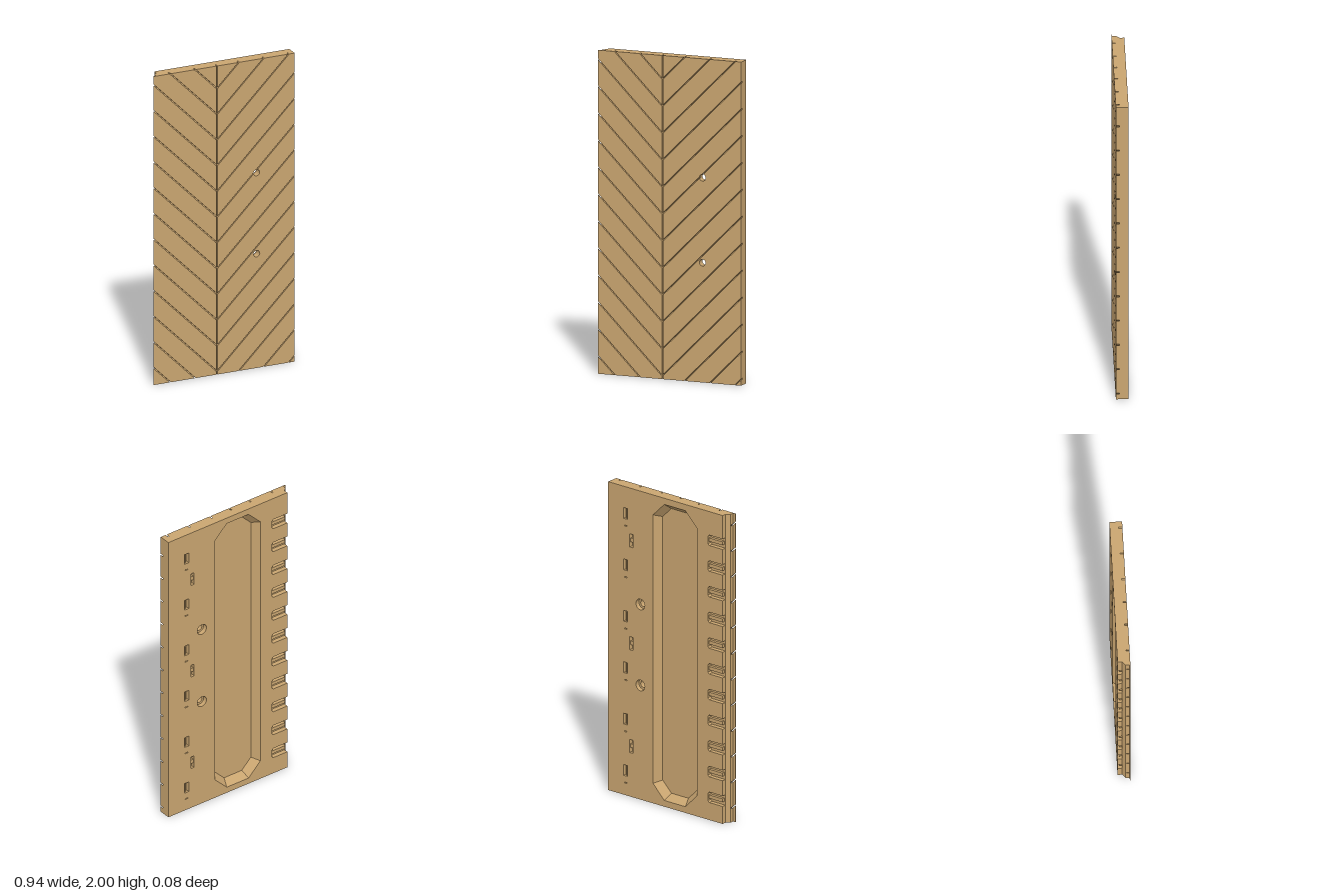
import * as THREE from 'three';
import { mergeGeometries } from 'three/addons/utils/BufferGeometryUtils.js';

const W = 0.47, EDGE = -0.434, STEP = -0.457, LIP = -0.475, SEAM = -0.05;
const BACK = -0.0385, MID = -0.0105, FLOOR = 0.0095, GROOVE = 0.0155, LIPZ = 0.034, FRONT = 0.0385;
const PITCH = 1 / 6, GAP = 0.0035;
const BOLTS = [[0.215, 1.265], [0.215, 0.74]], BOLT_R = 0.021;

const rect = (x0, x1, y0, y1) => [[x0, y0], [x1, y0], [x1, y1], [x0, y1]];
const centred = (x, y, w, h) => rect(x - w / 2, x + w / 2, y - h / 2, y + h / 2);
const toPath = (pts, Type = THREE.Path) => new Type(pts.map(p => new THREE.Vector2(p[0], p[1])));
const circle = ([x, y], r) => new THREE.Path().absarc(x, y, r, 0, Math.PI * 2, true);

function slab(pts, z0, z1, holes = []) {
  const shape = toPath(pts, THREE.Shape);
  shape.holes.push(...holes);
  return new THREE.ExtrudeGeometry(shape, { depth: z1 - z0, bevelEnabled: false, curveSegments: 10 }).translate(0, 0, z0);
}

// Keep the part of a polygon where a*x + b*y <= c
function clip(poly, a, b, c) {
  const out = [], f = p => a * p[0] + b * p[1] - c;
  poly.forEach((p, i) => {
    const q = poly[(i + 1) % poly.length], fp = f(p), fq = f(q);
    if (fp <= 0) out.push(p);
    if (fp * fq < 0) {
      const t = fp / (fp - fq);
      out.push([p[0] + t * (q[0] - p[0]), p[1] + t * (q[1] - p[1])]);
    }
  });
  return out;
}

// Cut a bolt hole into a plank: a full hole inside it, or a round bite in its edge
function cutBolt(poly, c, r, holes) {
  const out = [];
  let inside = true;
  poly.forEach((p, i) => {
    const q = poly[(i + 1) % poly.length];
    const len = Math.hypot(q[0] - p[0], q[1] - p[1]);
    out.push(p);
    if (len < 1e-6) return;
    const ux = (q[0] - p[0]) / len, uy = (q[1] - p[1]) / len;
    const along = (c[0] - p[0]) * ux + (c[1] - p[1]) * uy;
    const d = -(c[0] - p[0]) * uy + (c[1] - p[1]) * ux;
    if (d < r) inside = false;
    if (Math.abs(d) >= r) return;
    const h = Math.sqrt(r * r - d * d);
    if (along - h < 0 || along + h > len) return;
    let a0 = Math.atan2(-d, -h);
    if (a0 < 0) a0 += Math.PI * 2;
    const a1 = Math.atan2(-d, h);
    for (let k = 0; k <= 10; k++) {
      const a = a0 + (a1 - a0) * k / 10, u = r * Math.cos(a), n = r * Math.sin(a);
      out.push([c[0] + ux * u - uy * n, c[1] + uy * u + ux * n]);
    }
  });
  if (inside) holes.push(circle(c, r));
  return out;
}

// Diagonal planks on one side of the seam; s = 1 rises to +x, s = -1 to -x
function planks(x0, x1, s, z0, z1) {
  const parts = [];
  for (let k = -5; k <= 12; k++) {
    const low = 0.02 + k * PITCH + GAP * 1.2, high = 0.02 + (k + 1) * PITCH - GAP * 1.2;
    let poly = clip(rect(x0, x1, 0, 2), s, -1, s * SEAM - low);
    poly = clip(poly, -s, 1, high - s * SEAM);
    if (poly.length < 3) continue;
    const holes = [];
    for (const b of BOLTS) poly = cutBolt(poly, b, BOLT_R, holes);
    parts.push(slab(poly, z0, z1, holes));
  }
  return mergeGeometries(parts);
}

// Long eight-sided recess outline, counter-clockwise
function recess(inset) {
  const cx = -0.057, hw = 0.173 - inset, hh = 0.96 - inset, ch = 0.09 - inset * 0.58;
  return [[-hw + ch, -hh], [hw - ch, -hh], [hw, -hh + ch], [hw, hh - ch],
    [hw - ch, hh], [-hw + ch, hh], [-hw, hh - ch], [-hw, -hh + ch]].map(([x, y]) => [x + cx, y + 1]);
}

function recessWalls() {
  const a = recess(0), b = recess(0.037), pos = [];
  a.forEach((p, i) => {
    const j = (i + 1) % a.length;
    const A = [...p, BACK], B = [...a[j], BACK], C = [...b[i], FLOOR], D = [...b[j], FLOOR];
    pos.push(...A, ...C, ...B, ...B, ...C, ...D);
  });
  const g = new THREE.BufferGeometry();
  g.setAttribute('position', new THREE.Float32BufferAttribute(pos, 3));
  g.computeVertexNormals();
  return g;
}

export function createModel() {
  const group = new THREE.Group();
  const wood = new THREE.MeshStandardMaterial({ color: 0xc9a570 });
  wood.name = 'tan wood';
  const add = (name, geometry) => {
    const mesh = new THREE.Mesh(geometry, wood);
    mesh.name = name;
    group.add(mesh);
  };
  const box = (x, y, w, h, z0, z1) => new THREE.BoxGeometry(w, h, z1 - z0).translate(x, y, (z0 + z1) / 2);

  // Herringbone front and its thin overlapping lip
  add('rightPlanks', planks(SEAM + GAP, W, 1, GROOVE, FRONT));
  add('leftPlanks', planks(STEP, SEAM - GAP, -1, GROOVE, FRONT));
  add('edgeLip', planks(LIP, STEP, -1, LIPZ, FRONT));

  // Core plate: floor of the grooves and of the back recess
  add('corePlate', slab(rect(STEP, W, 0, 2), FLOOR, GROOVE, BOLTS.map(b => circle(b, BOLT_R))));
  add('innerBody', slab(rect(EDGE, W, 0, 2), MID, FLOOR, [toPath(recess(0)), ...BOLTS.map(b => circle(b, BOLT_R))]));
  add('recessWalls', recessWalls());

  // Slanted step along the joining edge
  const wedge = slab([[STEP, -FLOOR], [EDGE, -FLOOR], [EDGE, -MID]], 0, 2);
  add('edgeBevel', wedge.rotateX(-Math.PI / 2));

  // Back layer with open clip notches, slots, slits and counterbores
  const outline = [[EDGE, 0], [W, 0], [W, 2], [EDGE, 2]], tongues = [], ribs = [];
  for (let k = 10; k >= 0; k--) {
    const y = 0.147 + k * PITCH, h = 0.034, x = -0.318, c = 0.01;
    outline.push([EDGE, y + h], [x - c, y + h], [x, y + h - c], [x, y - h + c], [x - c, y - h], [EDGE, y - h]);
    tongues.push(box(-0.372, y, 0.106, 0.022, -0.03, MID));
  }
  const holes = [toPath(recess(0)), ...BOLTS.map(b => circle(b, 0.035))];
  for (let k = 0; k < 6; k++) {
    const y = 0.16 + k / 3;
    holes.push(toPath(centred(0.332, y, 0.034, 0.07)), toPath(centred(0.332, y - 0.08, 0.02, 0.006)));
    ribs.push(box(0.332, y, 0.008, 0.07, -0.028, MID));
  }
  for (let k = 0; k < 3; k++) {
    const y = 0.327 + k * 2 / 3;
    holes.push(toPath(centred(0.287, y, 0.026, 0.085)));
    ribs.push(box(0.287, y, 0.026, 0.025, -0.03, MID));
  }
  add('backLayer', slab(outline, BACK, MID, holes));
  add('clipTongues', mergeGeometries(tongues));
  add('slotRibs', mergeGeometries(ribs));
  return group;
}
